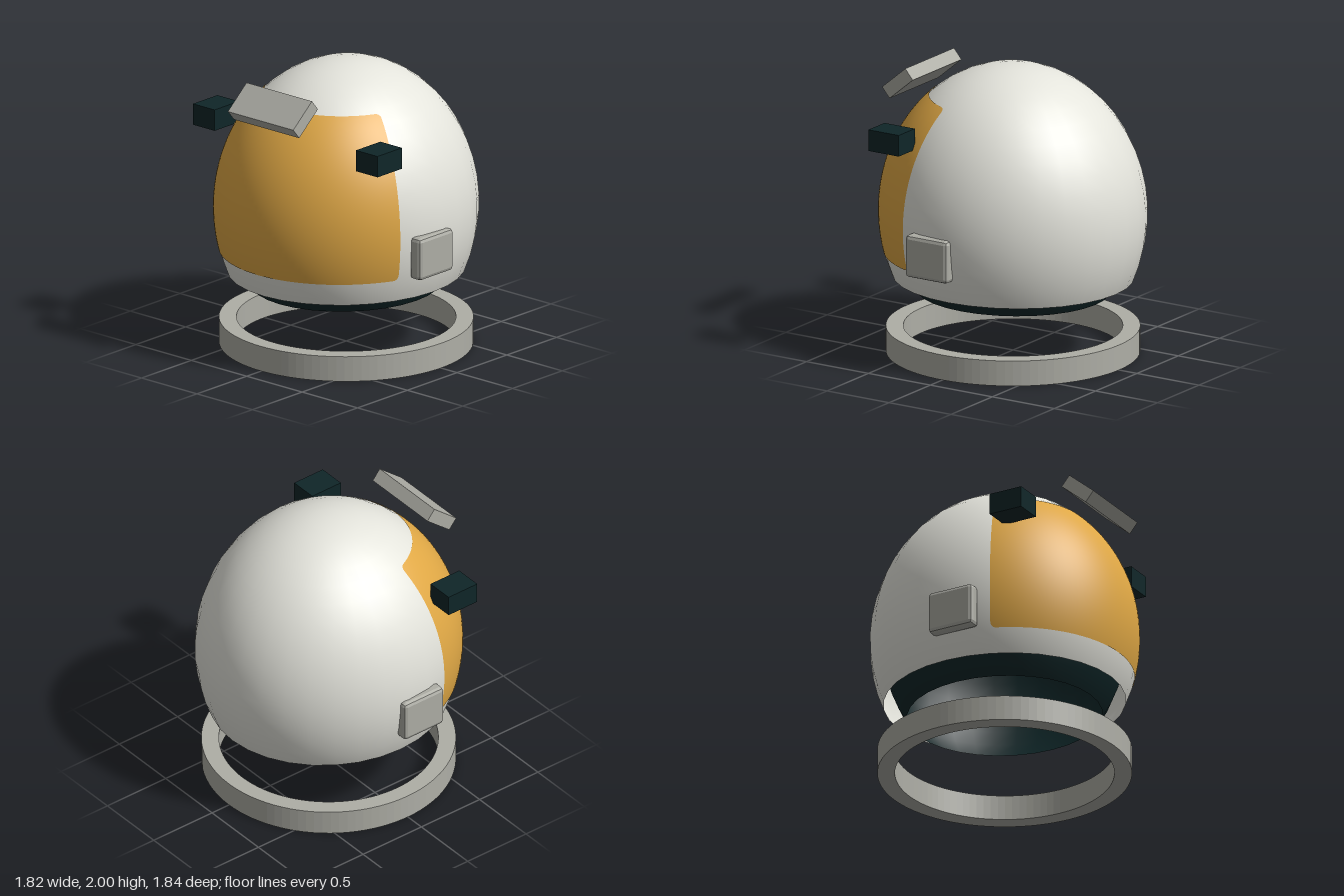
import * as THREE from 'three';
import { RoundedBoxGeometry } from 'three/addons/geometries/RoundedBoxGeometry.js';

const CENTRE_Y = 0.974;
const RADII = [0.87, 1.026, 0.92];

function material(name, color, side = THREE.FrontSide) {
  const m = new THREE.MeshStandardMaterial({ color, side });
  m.name = name;
  return m;
}

// Ellipsoid dome, open at the bottom
function dome(scale, cutY, segments, rows) {
  const theta = Math.acos((cutY - CENTRE_Y) / (RADII[1] * scale));
  return new THREE.SphereGeometry(1, segments, rows, 0, Math.PI * 2, 0, theta)
    .scale(...RADII.map((r) => r * scale))
    .translate(0, CENTRE_Y, 0);
}

// Ellipsoid patch facing +z with small rounded corners
function visorPatch(scale) {
  const halfPhi = THREE.MathUtils.degToRad(67.5);
  const top = Math.acos((1.777 - CENTRE_Y) / RADII[1]);
  const bottom = Math.acos((0.687 - CENTRE_Y) / RADII[1]);
  const mid = (top + bottom) / 2, half = (bottom - top) / 2, corner = 0.04;
  const g = new THREE.PlaneGeometry(2, 2, 48, 48);
  const p = g.attributes.position, n = g.attributes.normal;
  for (let i = 0; i < p.count; i++) {
    // rows crowd towards the top and bottom edges to shape the corners
    const v = Math.sin(p.getY(i) * Math.PI / 2);
    const theta = mid - v * half;
    const over = Math.max(0, Math.abs(v) * half - (half - corner));
    const inset = corner - Math.sqrt(Math.max(0, corner * corner - over * over));
    const phi = p.getX(i) * (halfPhi - inset / Math.sin(theta));
    const x = Math.sin(theta) * Math.sin(phi);
    const y = Math.cos(theta);
    const z = Math.sin(theta) * Math.cos(phi);
    p.setXYZ(i, x, y, z);
    n.setXYZ(i, x, y, z);
  }
  return g.scale(...RADII.map((r) => r * scale)).translate(0, CENTRE_Y, 0);
}

export function createModel() {
  const group = new THREE.Group();
  const white = material('shell white', 0xe4e4dc, THREE.DoubleSide);
  const gold = material('visor gold', 0xe0a845, THREE.DoubleSide);
  const grey = material('metal grey', 0xaeaea6);
  const dark = material('liner dark', 0x0f2628, THREE.DoubleSide);

  function add(name, geometry, mat, x = 0, y = 0, z = 0) {
    const mesh = new THREE.Mesh(geometry, mat);
    mesh.name = name;
    mesh.position.set(x, y, z);
    group.add(mesh);
    return mesh;
  }

  // Helmet: shell, inner liner showing below it, and visor
  add('shell', dome(1, 0.522, 32, 16), white);
  add('liner', dome(0.9, 0.425, 32, 16), dark);
  add('visor', visorPatch(1.002), gold);

  // Neck ring, floating below the helmet
  const ring = new THREE.Shape().absarc(0, 0, 0.855, 0, Math.PI * 2);
  ring.holes.push(new THREE.Path().absarc(0, 0, 0.737, 0, Math.PI * 2, true));
  const ringGeometry = new THREE.ExtrudeGeometry(ring, {
    depth: 0.175, bevelEnabled: false, curveSegments: 48,
  }).rotateX(-Math.PI / 2);
  add('neckRing', ringGeometry, grey);

  // Chamfered ear pads and side lamps
  const pad = new RoundedBoxGeometry(0.1, 0.296, 0.34, 1, 0.027);
  pad.computeVertexNormals();
  const lamp = new THREE.BoxGeometry(0.195, 0.148, 0.245);
  for (const [side, s] of [['left', 1], ['right', -1]]) {
    add(side + 'EarPad', pad, grey, s * 0.86, 0.837, 0.1);
    add(side + 'Lamp', lamp, dark, s * 0.735, 1.572, 0.49);
  }

  // Tilted box above the visor
  const box = add('browBox', new THREE.BoxGeometry(0.59, 0.093, 0.245), grey, 0, 1.817, 0.737);
  box.rotation.x = 0.7;

  return group;
}
